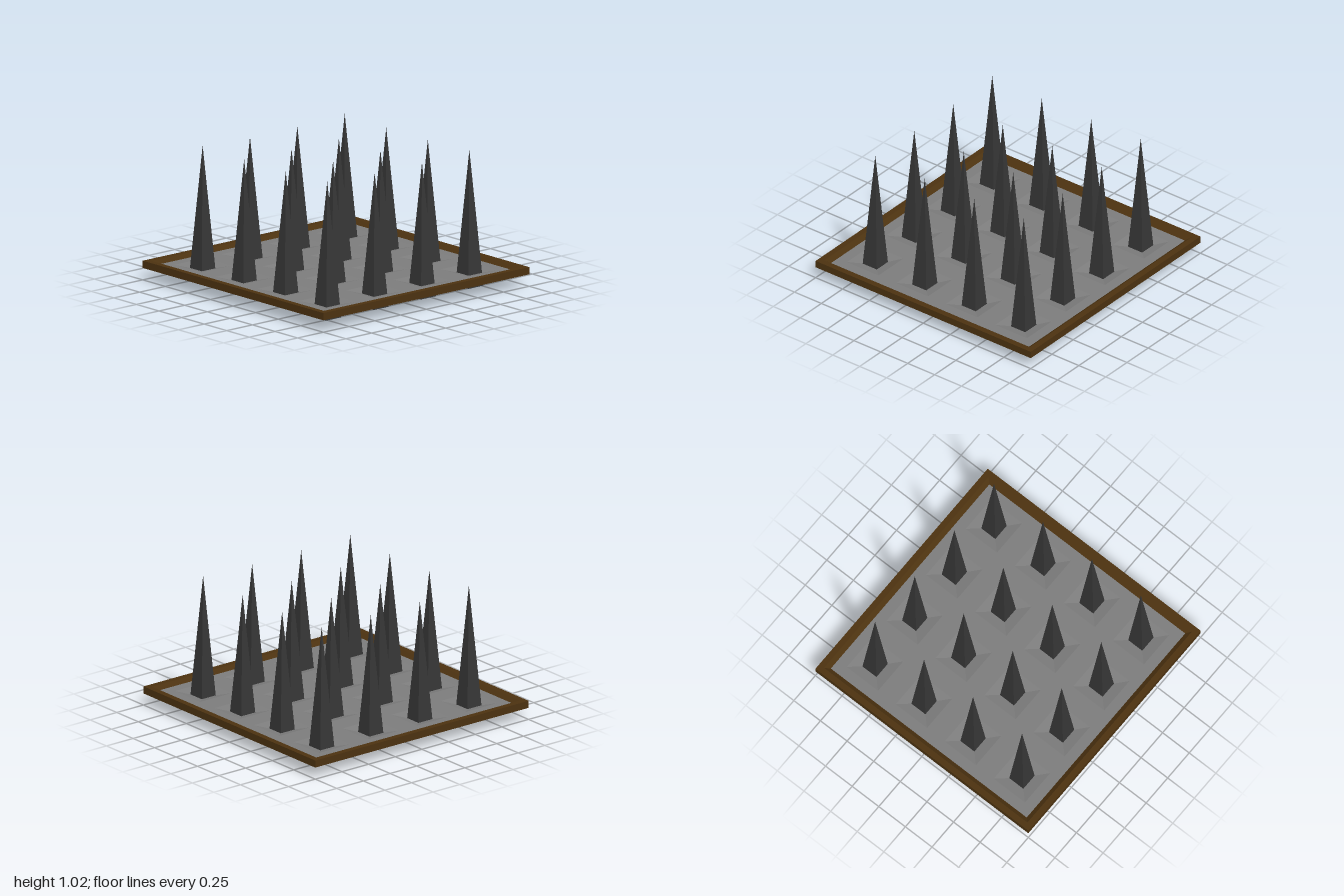
import * as THREE from 'three';

const material = (color) => new THREE.MeshStandardMaterial({ color, flatShading: true, side: THREE.DoubleSide });

// Four-sided tapered solid with flat sides facing the axes; r values are half-widths
function squareTaper(top, bottom, y0, y1, open) {
  const g = new THREE.CylinderGeometry(top * Math.SQRT2, bottom * Math.SQRT2, y1 - y0, 4, 1, open);
  return g.rotateY(Math.PI / 4).translate(0, (y0 + y1) / 2, 0);
}

function squarePath(path, x, y, h) {
  path.moveTo(x - h, y - h);
  path.lineTo(x + h, y - h);
  path.lineTo(x + h, y + h);
  path.lineTo(x - h, y + h);
  path.closePath();
  return path;
}

export function createModel() {
  const group = new THREE.Group();
  const wood = material(0x4c3210);
  const stone = material(0x7c7c7c);
  const iron = material(0x363636);

  const centres = [-0.69, -0.23, 0.23, 0.69];
  const plateY = 0.118, dentY = 0.095, dentHalf = 0.147;

  const add = (name, geometry, mat, x = 0, z = 0) => {
    const mesh = new THREE.Mesh(geometry, mat);
    mesh.name = name;
    mesh.position.set(x, 0, z);
    group.add(mesh);
  };

  // Square wooden border with bevelled inner edges
  const profile = [[1, 0.09], [1, 0.145], [0.955, 0.145], [0.92, 0.118], [0.955, 0.09], [1, 0.09]]
    .map(([r, y]) => new THREE.Vector2(r * Math.SQRT2, y));
  add('frame', new THREE.LatheGeometry(profile, 4).rotateY(Math.PI / 4), wood);

  // Floor plate with a square opening at every spike
  const plate = squarePath(new THREE.Shape(), 0, 0, 0.922);
  for (const x of centres) {
    for (const z of centres) plate.holes.push(squarePath(new THREE.Path(), x, z, dentHalf));
  }
  add('plate', new THREE.ShapeGeometry(plate).rotateX(-Math.PI / 2).translate(0, plateY, 0), stone);

  // Sunken sloping collars and the spikes that pass through them
  const collar = squareTaper(dentHalf, 0.06, dentY, plateY, true);
  const spike = squareTaper(0, 0.0725, 0, 1.01, false);
  const cornerSpike = squareTaper(0, 0.0725, 0, 1.025, false);
  for (const x of centres) {
    for (const z of centres) {
      const corner = Math.abs(x) > 0.5 && Math.abs(z) > 0.5;
      add('collar', collar, stone, x, z);
      add('spike', corner ? cornerSpike : spike, iron, x, z);
    }
  }
  return group;
}
